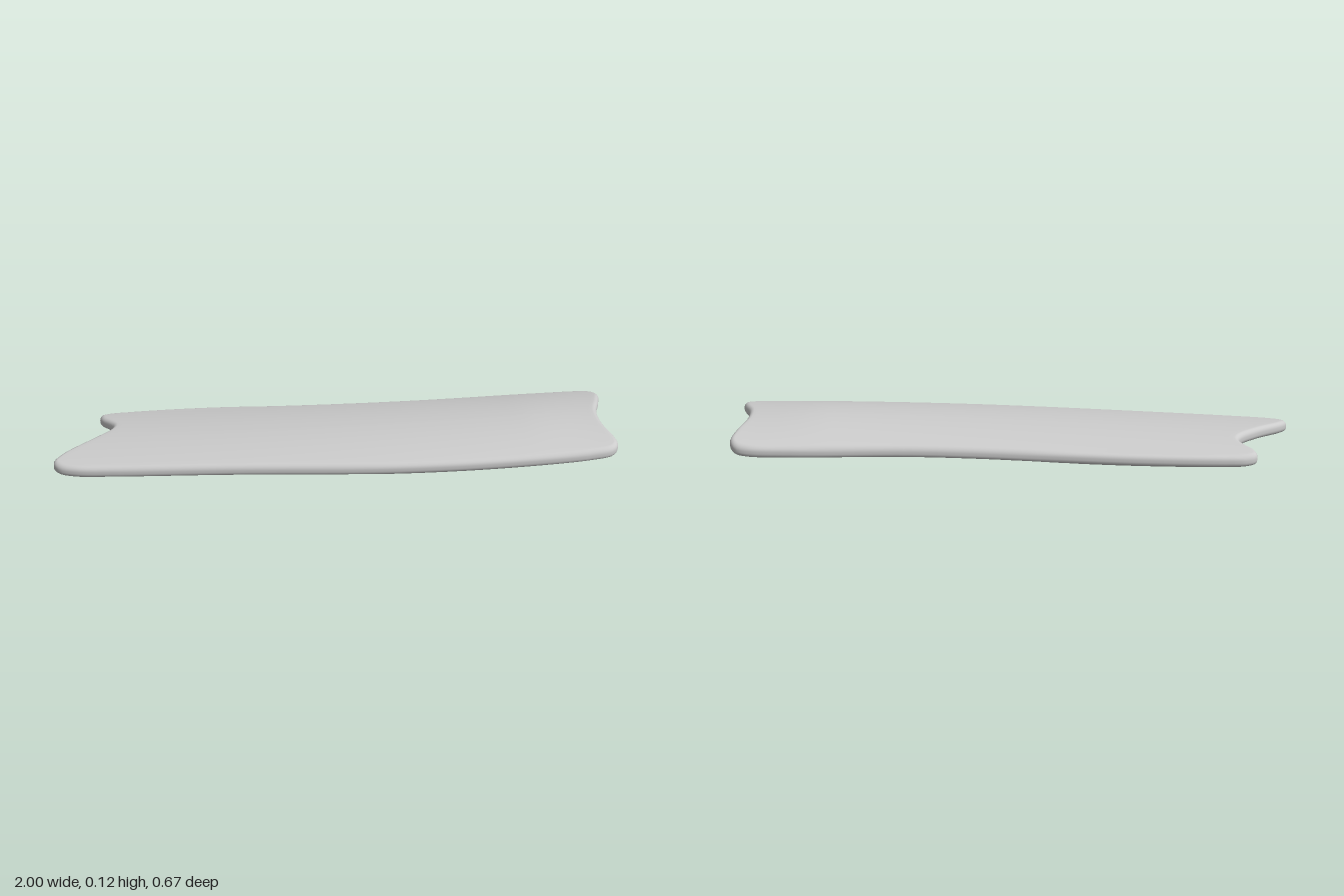
import * as THREE from 'three';

// Plan outline as x, z pairs: back edge, right end, front edge, notched left end
const OUTLINE = [
  [-0.815, -0.318], [-0.78, -0.333], [-0.7, -0.334], [-0.4, -0.304], [0, -0.235], [0.2, -0.205],
  [0.4, -0.182], [0.8, -0.154], [0.94, -0.138], [0.985, -0.118], [1, -0.08], [0.98, -0.01],
  [0.945, 0.08], [0.938, 0.17], [0.955, 0.25], [0.958, 0.295], [0.935, 0.322], [0.85, 0.332],
  [0.5, 0.315], [0.2, 0.28], [0, 0.245], [-0.4, 0.165], [-0.8, 0.088], [-0.93, 0.058],
  [-0.985, 0.03], [-1, 0], [-0.97, -0.04], [-0.86, -0.118], [-0.79, -0.175], [-0.777, -0.205],
  [-0.79, -0.24], [-0.816, -0.285],
];
const HALF = 0.022;  // half thickness
const ROUND = 0.018; // radius of the rounded rim

const frontZ = (x) => 0.245 + 0.153 * x - 0.0586 * x * x;
const backZ = (x) => -0.235 + 0.116 * x - 0.0117 * x * x;
const centreZ = (x) => (frontZ(x) + backZ(x)) / 2;

// Height of the middle layer: sloping edges plus an arch across the width
function midHeight(x, z) {
  const t = THREE.MathUtils.clamp((z - centreZ(x)) / ((frontZ(x) - backZ(x)) / 2), -1, 1);
  const back = 0.041 + 0.02 * x, front = 0.058 + 0.022 * x;
  const droop = 1 - 0.35 * THREE.MathUtils.smoothstep(x, 0.65, 1);
  const arch = (0.031 + 0.014 * x) * droop * (1 - t * t);
  return THREE.MathUtils.lerp(back, front, (t + 1) / 2) + arch;
}

function slabGeometry() {
  const curve = new THREE.CatmullRomCurve3(
    OUTLINE.map(([x, z]) => new THREE.Vector3(x, 0, z)), true, 'centripetal');
  const N = 320;
  const loop = curve.getSpacedPoints(N).slice(0, N);

  // Rings from the top spine, around the rim, to the bottom spine: [blend to spine, inset, lift]
  const rings = [];
  for (let i = 0; i < 10; i++) rings.push([1 - i / 10, ROUND, HALF]);
  for (let i = 0; i <= 5; i++) {
    const a = (i / 5) * Math.PI / 2;
    rings.push([0, ROUND * (1 - Math.sin(a)), HALF - ROUND * (1 - Math.cos(a))]);
  }
  const full = [...rings, ...rings.map(([s, inset, lift]) => [s, inset, -lift]).reverse()];

  const positions = [], index = [];
  full.forEach(([s, inset, lift], r) => {
    for (let j = 0; j < N; j++) {
      const p = loop[j], a = loop[(j + N - 1) % N], b = loop[(j + 1) % N];
      const tx = b.x - a.x, tz = b.z - a.z, len = Math.hypot(tx, tz);
      let x = p.x - (tz / len) * inset, z = p.z + (tx / len) * inset;
      const spineX = THREE.MathUtils.clamp(x, -0.6, 0.8);
      x += (spineX - x) * s;
      z += (centreZ(spineX) - z) * s;
      positions.push(x, midHeight(x, z) + lift, z);
      if (r < full.length - 1) {
        const k = (j + 1) % N, v = r * N;
        index.push(v + j, v + k, v + N + j, v + k, v + N + k, v + N + j);
      }
    }
  });
  const geometry = new THREE.BufferGeometry();
  geometry.setAttribute('position', new THREE.Float32BufferAttribute(positions, 3));
  geometry.setIndex(index);
  geometry.computeVertexNormals();
  // Stand the slab on the ground
  geometry.computeBoundingBox();
  geometry.translate(0, -geometry.boundingBox.min.y, 0);
  return geometry;
}

export function createModel() {
  const group = new THREE.Group();
  group.name = 'curvedPanel';
  const panel = new THREE.Mesh(slabGeometry(), new THREE.MeshStandardMaterial({ color: 0xcccccc }));
  panel.name = 'archedSlab';
  group.add(panel);
  return group;
}
